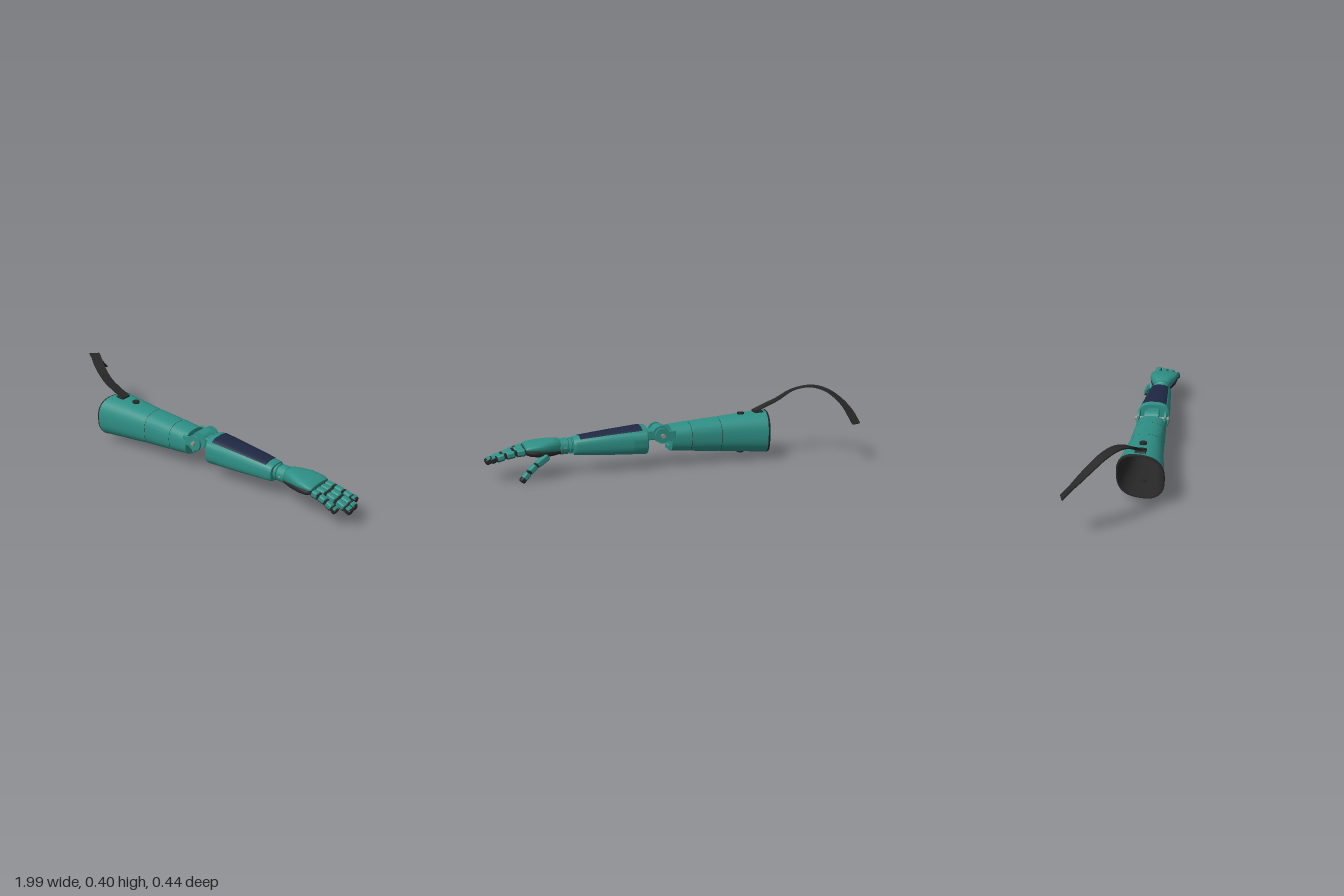
import * as THREE from 'three';
import { toCreasedNormals } from 'three/addons/utils/BufferGeometryUtils.js';
import { RoundedBoxGeometry } from 'three/addons/geometries/RoundedBoxGeometry.js';

const V = (x, y, z) => new THREE.Vector3(x, y, z);

// Geometry from rings of equal point count, optionally closed around and capped.
function skin(rings, { closed = true, start = false, end = false, crease = 0.6 } = {}) {
  const n = rings[0].length, pos = [], idx = [];
  rings.forEach(r => r.forEach(p => pos.push(p.x, p.y, p.z)));
  for (let i = 0; i < rings.length - 1; i++) {
    for (let j = 0; j < (closed ? n : n - 1); j++) {
      const k = (j + 1) % n, a = i * n + j, b = a + n, c = i * n + k, d = c + n;
      idx.push(a, b, c, b, d, c);
    }
  }
  const cap = (ring, flip) => {
    const base = pos.length / 3, mid = V(0, 0, 0);
    ring.forEach(p => mid.addScaledVector(p, 1 / n));
    [mid, ...ring].forEach(p => pos.push(p.x, p.y, p.z));
    for (let j = 0; j < n; j++) {
      const a = base + 1 + j, b = base + 1 + (j + 1) % n;
      idx.push(base, flip ? b : a, flip ? a : b);
    }
  };
  if (start) cap(rings[0], false);
  if (end) cap(rings[rings.length - 1], true);
  const g = new THREE.BufferGeometry();
  g.setAttribute('position', new THREE.Float32BufferAttribute(pos, 3));
  g.setIndex(idx);
  return toCreasedNormals(g, crease);
}

// Loft along x; section = [x, yBottom, yTop, zBack, zFront, slant].
function loft(sections, { e = 2.6, grow = 0, from = 0, to = 360, ...opt } = {}) {
  const closed = to - from >= 360, n = closed ? 48 : 20;
  const pw = v => Math.sign(v) * Math.abs(v) ** (2 / e);
  const rings = sections.map(([x, yb, yt, z0, z1, slant = 0]) =>
    Array.from({ length: n }, (_, j) => {
      const t = (from + (to - from) * j / (closed ? n : n - 1)) * Math.PI / 180;
      const dz = pw(Math.cos(t)) * ((z1 - z0) / 2 + grow);
      return V(x + slant * dz, (yb + yt) / 2 + pw(Math.sin(t)) * ((yt - yb) / 2 + grow), (z0 + z1) / 2 + dz);
    }));
  return skin(rings, { closed, ...opt });
}

// Section of a profile at a given x.
function at(profile, x) {
  let i = 0;
  while (i < profile.length - 2 && x > profile[i + 1][0]) i++;
  const a = profile[i], b = profile[i + 1], t = (x - a[0]) / (b[0] - a[0]);
  return a.map((v, k) => v + (b[k] - v) * t);
}
const inset = (s, d) => [s[0], s[1] + d, s[2] - d, s[3] + d, s[4] - d, s[5]];
const shift = (s, dx) => [s[0] + dx, ...s.slice(1)];

export function createModel() {
  const model = new THREE.Group();
  const mat = (name, color) => new THREE.MeshStandardMaterial({ name, color });
  const teal = mat('teal shell', 0x2e8f85), black = mat('black rubber', 0x272727);
  const navy = mat('navy panel', 0x1e2842), metal = mat('pale metal', 0x9a8f8a);
  navy.side = black.side = THREE.DoubleSide;

  const add = (name, geo, m, parent = model) => {
    const mesh = new THREE.Mesh(geo, m);
    mesh.name = name;
    parent.add(mesh);
    return mesh;
  };
  const box = (name, m, x0, x1, y0, y1, z0, z1, r = 0.004) =>
    add(name, new RoundedBoxGeometry(x1 - x0, y1 - y0, z1 - z0, 2, r), m)
      .position.set((x0 + x1) / 2, (y0 + y1) / 2, (z0 + z1) / 2);
  const pin = (name, m, r, x, y, z0, z1, parent) => {
    const p = add(name, new THREE.CylinderGeometry(r, r, z1 - z0, 28).rotateX(Math.PI / 2), m, parent);
    p.position.set(x, y, (z0 + z1) / 2);
  };
  // Rounded block running from a to b.
  const limb = (name, m, a, b, h, w, parent) => {
    const d = b.clone().sub(a);
    const s = add(name, new RoundedBoxGeometry(d.length(), h, w, 3, Math.min(h, w) * 0.3), m, parent);
    s.position.copy(a).lerp(b, 0.5);
    s.quaternion.setFromUnitVectors(V(1, 0, 0), d.normalize());
  };

  // Upper arm socket in three sleeves with narrow seams
  const upper = [
    [-0.568, 0.030, 0.260, -0.024, 0.219, -0.19],
    [-0.42, 0.043, 0.251, -0.009, 0.199, -0.06],
    [-0.28, 0.056, 0.241, 0.004, 0.183, 0],
    [-0.11, 0.071, 0.230, 0.008, 0.176, 0],
    [0, 0.083, 0.220, 0.012, 0.170, 0],
  ];
  const sleeve = (name, x0, x1, end) =>
    add(name, loft([x0, (x0 + x1) / 2, x1].map(x => at(upper, x)), { end }), teal);
  sleeve('socketSleeve', -0.567, -0.281, false);
  sleeve('middleSleeve', -0.279, -0.111, false);
  sleeve('lowerSleeve', -0.109, 0, true);
  add('socketLining', loft([...upper.slice(0, 4), at(upper, -0.02)].map(s => inset(s, 0.007)), { end: true }), black);
  const lip = upper[0];
  add('socketRim', loft([shift(inset(lip, -0.001), 0.004), shift(inset(lip, 0.002), -0.007),
    shift(inset(lip, 0.008), -0.007), shift(inset(lip, 0.009), 0.008)]), black);

  // Socket buttons above and below
  [0.250, 0.044].forEach(y => {
    add('socketButton', new THREE.CylinderGeometry(0.019, 0.019, 0.02, 24), black).position.set(-0.42, y, 0.095);
  });

  // Shoulder strap
  const path = new THREE.CatmullRomCurve3([
    V(-0.495, 0.262, 0.094), V(-0.56, 0.288, 0.094), V(-0.636, 0.322, 0.089), V(-0.716, 0.373, 0.068),
    V(-0.80, 0.399, 0.015), V(-0.865, 0.386, -0.035), V(-0.915, 0.349, -0.085),
    V(-0.952, 0.296, -0.141), V(-0.974, 0.223, -0.210)]);
  const strapRings = Array.from({ length: 49 }, (_, i) => {
    const c = path.getPoint(i / 48), t = path.getTangent(i / 48);
    const w = V(t.z, 0, -t.x).normalize(), n = new THREE.Vector3().crossVectors(t, w);
    return [[1, 1], [-1, 1], [-1, -1], [1, -1]].map(([a, b]) =>
      c.clone().addScaledVector(w, a * 0.027).addScaledVector(n, b * 0.003));
  });
  add('strap', skin(strapRings, { start: true, end: true }), black);
  box('strapBuckle', black, -0.545, -0.495, 0.250, 0.265, 0.066, 0.122);

  // Elbow: hinge drum, fork plates, axle and forearm neck
  pin('elbowDrum', teal, 0.045, 0.054, 0.182, 0.05, 0.125);
  [0.012, 0.155].forEach(z => {
    box('elbowFork', teal, -0.02, 0.06, 0.152, 0.206, z, z + 0.012);
    pin('elbowForkEye', teal, 0.042, 0.054, 0.182, z, z + 0.012);
  });
  pin('elbowAxle', metal, 0.011, 0.054, 0.182, -0.002, 0.179);
  box('elbowNeck', teal, 0.05, 0.145, 0.150, 0.205, 0.055, 0.12, 0.008);
  box('elbowStop', teal, -0.02, 0.012, 0.090, 0.116, 0.06, 0.115);

  // Forearm with top panel and raised side plates
  const fore = [
    [0.135, 0.080, 0.229, 0.004, 0.172],
    [0.142, 0.077, 0.232, 0.000, 0.176],
    [0.34, 0.087, 0.215, 0.015, 0.161],
    [0.525, 0.100, 0.196, 0.030, 0.146],
    [0.532, 0.104, 0.192, 0.034, 0.142],
  ];
  add('forearm', loft(fore, { e: 2.7, start: true, end: true }), teal);
  add('forearmTopPanel', loft([0.165, 0.34, 0.498].map(x => at(fore, x)),
    { e: 2.7, grow: 0.003, from: 47, to: 133 }), navy);
  [0, 180].forEach(c => add('forearmSidePlate', loft([0.215, 0.34, 0.52].map(x => at(fore, x)),
    { e: 2.7, grow: 0.002, from: c - 28, to: c + 28 }), teal));

  // Wrist collars and cross pin
  const wristAt = (x, d) => [x, 0.107 + d, 0.194 - d, 0.044 + d, 0.132 - d];
  add('wristCore', loft([wristAt(0.525, 0.008), wristAt(0.62, 0.008)], { e: 2 }), teal);
  [[0.538, 0.01], [0.557, 0.042]].forEach(([x, w]) => add('wristCollar', loft(
    [wristAt(x, 0.004), wristAt(x + 0.003, 0), wristAt(x + w, 0), wristAt(x + w + 0.003, 0.004)],
    { e: 2, start: true, end: true }), teal));
  pin('wristPin', metal, 0.006, 0.578, 0.151, 0.042, 0.134);

  // Hand back and dark palm
  add('handBack', loft([
    [0.598, 0.122, 0.188, 0.050, 0.126], [0.61, 0.118, 0.196, 0.043, 0.133], [0.65, 0.125, 0.198, 0.026, 0.147],
    [0.70, 0.133, 0.194, 0.008, 0.162], [0.75, 0.141, 0.187, 0.008, 0.168], [0.78, 0.145, 0.180, 0.012, 0.168],
    [0.788, 0.148, 0.174, 0.018, 0.162]], { start: true, end: true }), teal);
  add('palm', loft([
    [0.600, 0.113, 0.150, 0.050, 0.126], [0.65, 0.108, 0.153, 0.030, 0.143], [0.71, 0.109, 0.158, 0.012, 0.161],
    [0.76, 0.116, 0.162, 0.010, 0.167], [0.785, 0.127, 0.163, 0.016, 0.164]], { start: true, end: true }), black);

  // Four curled fingers: [z, length, drop]
  const steps = [0, 0.29, 0.58, 0.84, 1];
  [[0.036, 0.183, 0.034], [0.075, 0.204, 0.050], [0.113, 0.204, 0.058], [0.151, 0.145, 0.059]].forEach(([z, len, drop]) => {
    const finger = new THREE.Group();
    finger.name = 'finger';
    model.add(finger);
    const pts = steps.map(t => V(0.785 + len * t, 0.149 - drop * t ** 1.7, z));
    for (let i = 0; i < 4; i++) {
      const a = pts[i].clone().lerp(pts[i + 1], 0.07), b = pts[i].clone().lerp(pts[i + 1], i < 3 ? 0.93 : 1);
      limb(i < 3 ? 'fingerSegment' : 'fingerTip', i < 3 ? teal : black, a, b, 0.033 - i * 0.001, 0.034, finger);
      pin('fingerJoint', black, 0.0125, pts[i].x, pts[i].y, z - 0.014, z + 0.014, finger);
      const down = V(b.y - a.y, a.x - b.x, 0).normalize().multiplyScalar(0.0145 - i * 0.0005);
      // Grip pad under each segment, teal nail plate over the tip
      if (i < 3) limb('fingerPad', black, a.lerp(b, 0.1).add(down), b.clone().add(down), 0.007, 0.026, finger);
      else limb('fingerNail', teal, a.clone().sub(down), a.lerp(b, 0.6).sub(down), 0.008, 0.035, finger);
    }
  });

  // Thumb
  const thumb = new THREE.Group();
  thumb.name = 'thumb';
  model.add(thumb);
  const tp = [V(0.675, 0.120, 0.026), V(0.740, 0.084, 0.001), V(0.782, 0.052, -0.014), V(0.825, 0.008, -0.024)];
  limb('thumbBase', teal, tp[0], tp[1], 0.036, 0.038, thumb);
  limb('thumbSegment', teal, tp[1].clone().lerp(tp[2], 0.08), tp[2].clone().lerp(tp[1], 0.06), 0.033, 0.036, thumb);
  limb('thumbTipShell', teal, tp[2].clone().lerp(tp[3], 0.06), tp[2].clone().lerp(tp[3], 0.7), 0.032, 0.038, thumb);
  limb('thumbTip', black, tp[2].clone().lerp(tp[3], 0.5), tp[3], 0.030, 0.036, thumb);
  [tp[1], tp[2]].forEach(p => pin('thumbJoint', black, 0.0125, p.x, p.y, p.z - 0.014, p.z + 0.014, thumb));

  return model;
}
